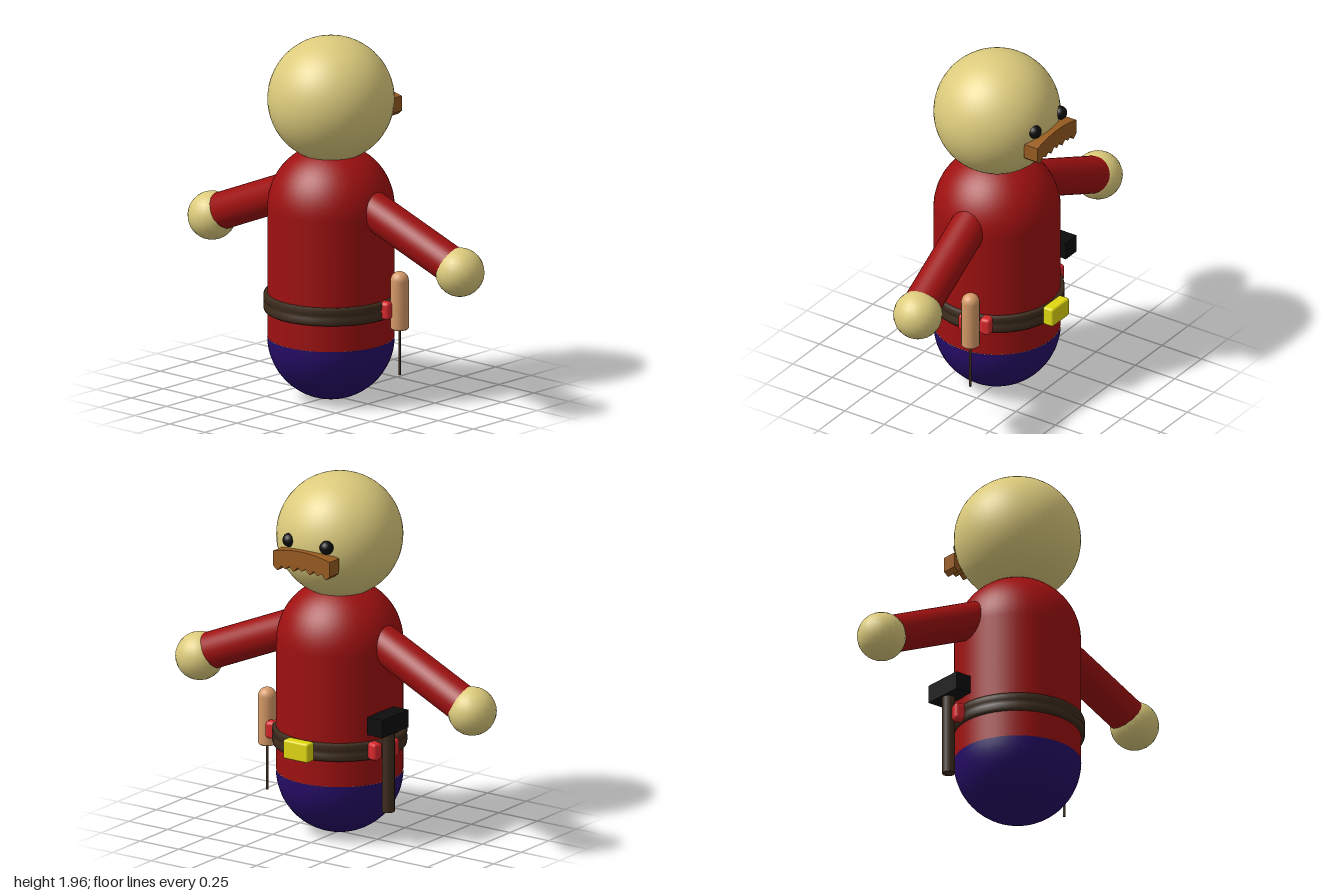
import * as THREE from 'three';
import { RoundedBoxGeometry } from 'three/addons/geometries/RoundedBoxGeometry.js';

const CX = -0.03, CZ = 0.015, R = 0.335; // body axis and radius

export function createModel() {
  const model = new THREE.Group();
  model.name = 'handyman';

  const material = (name, color) => {
    const m = new THREE.MeshStandardMaterial({ color });
    m.name = name;
    return m;
  };
  const skin = material('skin', 0xdccb7c);
  const shirtRed = material('shirt red', 0x9e1010);
  const navy = material('trouser navy', 0x260d68);
  const leather = material('dark leather', 0x3d2c1d);
  const yellow = material('buckle yellow', 0xe0d812);
  const brightRed = material('holder red', 0xd8282c);
  const tan = material('handle tan', 0xd69a68);
  const black = material('black', 0x0d0d0d);
  const brown = material('moustache brown', 0x985c20);

  const add = (name, geometry, mat, x, y, z, parent = model) => {
    const mesh = new THREE.Mesh(geometry, mat);
    mesh.name = name;
    mesh.position.set(x, y, z);
    parent.add(mesh);
    return mesh;
  };
  // points on a quarter circle, for lathe profiles
  const arc = (r, cy, from, to, n = 16) => Array.from({ length: n + 1 }, (_, i) => {
    const a = from + (to - from) * i / n;
    return new THREE.Vector2(Math.max(0, r * Math.cos(a)), cy + r * Math.sin(a));
  });

  // Head and body
  add('head', new THREE.SphereGeometry(R, 48, 32), skin, CX, 1.635, CZ);
  add('shirt', new THREE.LatheGeometry(
    [new THREE.Vector2(R, 0.342), ...arc(R, 1.05, 0, Math.PI / 2)], 48), shirtRed, CX, 0, CZ);
  add('trousers', new THREE.LatheGeometry(arc(R + 0.001, 0.342, -Math.PI / 2, 0), 48), navy, CX, 0, CZ);

  // Belt with a groove around its middle
  const beltProfile = [[0.33, 0.487], [0.352, 0.487], [0.356, 0.5], [0.356, 0.525], [0.347, 0.535],
    [0.356, 0.545], [0.356, 0.57], [0.352, 0.583], [0.33, 0.583]];
  const beltGeometry = new THREE.LatheGeometry(beltProfile.map(p => new THREE.Vector2(...p)), 48);
  add('belt', beltGeometry, leather, CX, 0, CZ);
  add('buckle', new RoundedBoxGeometry(0.065, 0.105, 0.16, 2, 0.012), yellow, 0.345, 0.537, CZ);

  // Eyes and moustache face +x
  for (const side of [1, -1]) {
    add(side > 0 ? 'rightEye' : 'leftEye', new THREE.SphereGeometry(0.037, 20, 14), black,
      0.28, 1.66, side * 0.12);
  }
  const moustacheShape = new THREE.Shape();
  moustacheShape.moveTo(-0.182, 1.605);
  moustacheShape.quadraticCurveTo(0, 1.655, 0.182, 1.605);
  const teeth = 14;
  for (let i = 0; i <= teeth; i++) {
    const u = 0.182 - 0.364 * i / teeth;
    const base = 1.54 - 0.5 * u * u;
    moustacheShape.lineTo(u, base + (i % 2 ? -0.018 : 0) - (i % 4 === 1 ? 0.008 : 0));
  }
  moustacheShape.closePath();
  const moustacheGeometry = new THREE.ExtrudeGeometry(moustacheShape,
    { depth: 0.085, bevelEnabled: false, curveSegments: 12 });
  moustacheGeometry.rotateY(Math.PI / 2);
  add('moustache', moustacheGeometry, brown, 0.255, 0, 0);

  // Arms slope down and slightly forward to round hands
  const up = new THREE.Vector3(0, 1, 0);
  const arm = (name, shoulder, wrist, hand) => {
    const direction = wrist.clone().sub(shoulder);
    const mid = shoulder.clone().add(wrist).multiplyScalar(0.5);
    const mesh = add(name + 'Arm', new THREE.CylinderGeometry(0.1, 0.1, direction.length(), 32),
      shirtRed, mid.x, mid.y, mid.z);
    mesh.quaternion.setFromUnitVectors(up, direction.normalize());
    add(name + 'Shoulder', new THREE.SphereGeometry(0.1, 24, 16), shirtRed, ...shoulder.toArray());
    add(name + 'Hand', new THREE.SphereGeometry(0.13, 20, 14), skin, ...hand.toArray());
  };
  const V = (x, y, z) => new THREE.Vector3(x, y, z);
  arm('right', V(-0.015, 1.085, 0.28), V(0.035, 0.845, 0.85), V(0.043, 0.828, 0.866));
  arm('left', V(-0.025, 1.085, -0.27), V(0.025, 0.845, -0.85), V(0.013, 0.828, -0.87));

  // Tool holders: two lumps joined by a plate, turned to follow the belt
  const holder = (name, x, z, angle) => {
    const group = new THREE.Group();
    group.name = name;
    group.position.set(x, 0.537, z);
    group.rotation.y = angle;
    for (const side of [-1, 1]) {
      add('holderLump', new RoundedBoxGeometry(0.06, 0.095, 0.066, 2, 0.018), brightRed,
        side * 0.06, 0, 0, group);
    }
    add('holderPlate', new THREE.BoxGeometry(0.1, 0.07, 0.03), brightRed, 0, 0, -0.01, group);
    model.add(group);
  };
  holder('screwdriverHolder', 0.066, 0.355, 0.25);
  holder('hammerHolder', 0.066, -0.335, Math.PI - 0.25);

  // Screwdriver
  const gripProfile = [new THREE.Vector2(0, 0.43), new THREE.Vector2(0.042, 0.43),
    new THREE.Vector2(0.049, 0.438), ...arc(0.049, 0.695, 0, Math.PI / 2, 10)];
  add('screwdriverGrip', new THREE.LatheGeometry(gripProfile, 20), tan, 0.07, 0, 0.412);
  add('screwdriverShaft', new THREE.CylinderGeometry(0.007, 0.007, 0.26, 10), leather, 0.07, 0.31, 0.412);

  // Hammer
  add('hammerHandle', new THREE.CylinderGeometry(0.034, 0.034, 0.46, 16), leather, 0.07, 0.43, -0.37);
  add('hammerHead', new THREE.BoxGeometry(0.235, 0.098, 0.1), black, 0.067, 0.688, -0.364);

  return model;
}
